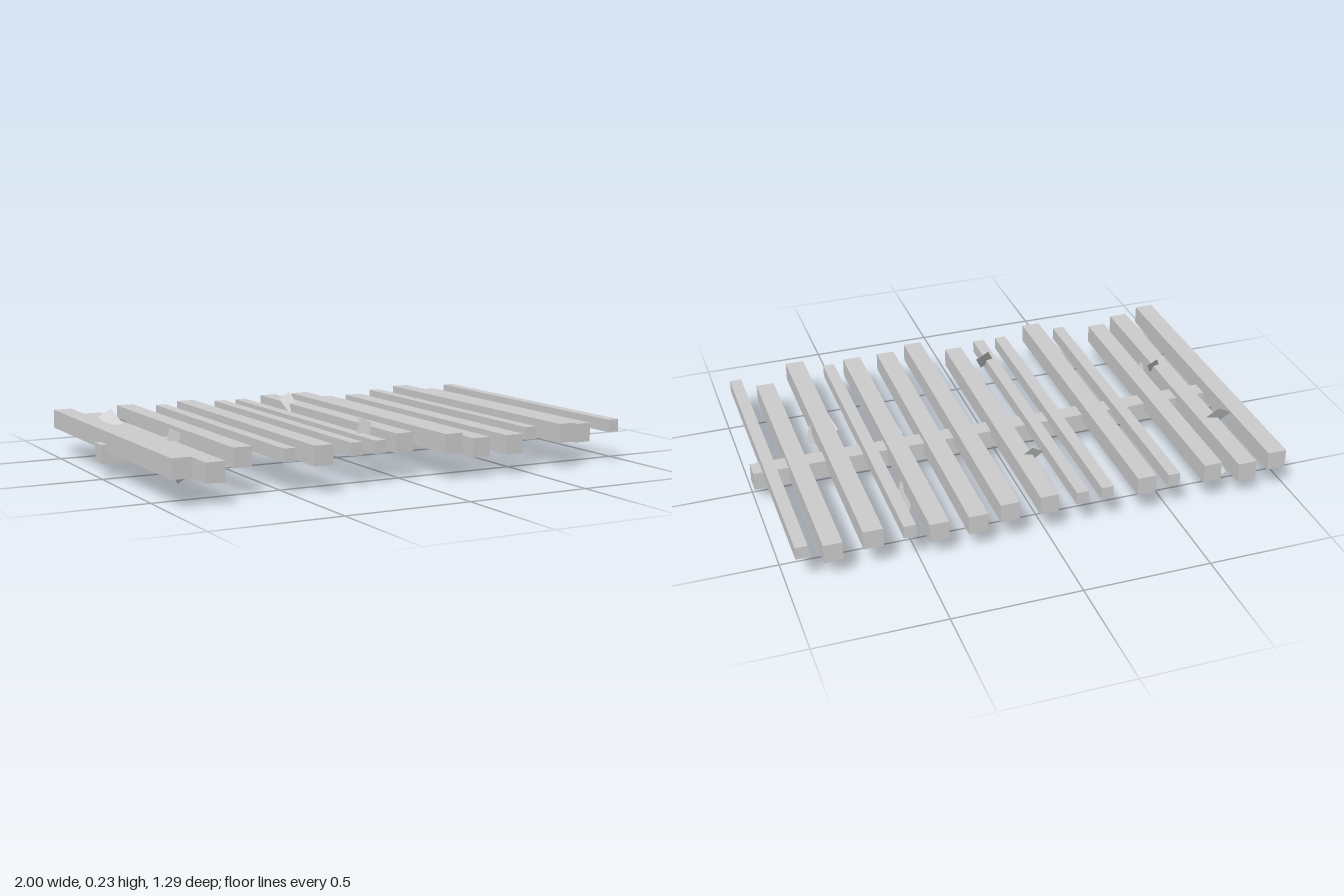
import * as THREE from 'three';

const wood = new THREE.MeshStandardMaterial({ color: 0xcccccc, flatShading: true });
const chip = new THREE.MeshStandardMaterial({ color: 0xcccccc, flatShading: true, side: THREE.DoubleSide });

const BACK = -0.648;

// Plank kinds: [width, height, centre y, front end z]
const KINDS = {
  long: [0.075, 0.075, 0.148, 0.645],
  low: [0.075, 0.075, 0.123, 0.645],
  short: [0.072, 0.075, 0.148, 0.545],
  lowShort: [0.072, 0.075, 0.123, 0.545],
  thin: [0.047, 0.05, 0.15, 0.595],
};

const PLANKS = [
  [-0.94, 'long'], [-0.815, 'low'], [-0.667, 'short'], [-0.505, 'thin'], [-0.393, 'long'],
  [-0.232, 'thin'], [-0.132, 'thin'], [0, 'short'], [0.155, 'long'], [0.278, 'low'],
  [0.428, 'low'], [0.54, 'thin'], [0.677, 'long'], [0.826, 'lowShort'], [0.94, 'thin'],
];

// Splinters: [x, y, z, scale, roll in degrees]
const UP = 28, DOWN = 152;
const SPLINTERS = [
  [-0.098, 0.185, 0.407, 1, -UP], [-0.775, 0.165, 0.16, 0.8, -UP],
  [-0.848, 0.172, -0.31, 1, UP], [-0.035, 0.188, -0.36, 0.85, UP],
  [-0.775, 0.065, 0.245, 1.2, -DOWN], [0.64, 0.1, 0.252, 1, DOWN],
  [0.39, 0.082, 0.163, 0.95, DOWN], [0.705, 0.112, 0.175, 0.9, -DOWN],
  [-0.05, 0.075, -0.15, 0.9, DOWN], [0.465, 0.068, -0.31, 1.1, -DOWN],
  [-0.725, 0.102, -0.55, 0.9, DOWN],
];

export function createModel() {
  const model = new THREE.Group();
  model.name = 'plankPlatform';

  const add = (name, geometry, material, x, y, z) => {
    const mesh = new THREE.Mesh(geometry, material);
    mesh.name = name;
    mesh.position.set(x, y, z);
    model.add(mesh);
    return mesh;
  };

  // Single beam running underneath
  add('crossBeam', new THREE.BoxGeometry(2, 0.073, 0.073), wood, 0, 0.1, -0.037);

  // Uneven planks, flush at the back
  PLANKS.forEach(([x, kind], i) => {
    const [w, h, y, front] = KINDS[kind];
    add(`plank${i + 1}`, new THREE.BoxGeometry(w, h, front - BACK), wood, x, y, (front + BACK) / 2);
  });

  // Flat splinters leaning between the planks
  SPLINTERS.forEach(([x, y, z, s, roll], i) => {
    const splinter = add(`splinter${i + 1}`, new THREE.PlaneGeometry(0.062 * s, 0.093 * s), chip, x, y, z);
    splinter.rotation.set(THREE.MathUtils.degToRad(-31), 0, THREE.MathUtils.degToRad(roll), 'ZXY');
  });

  return model;
}
